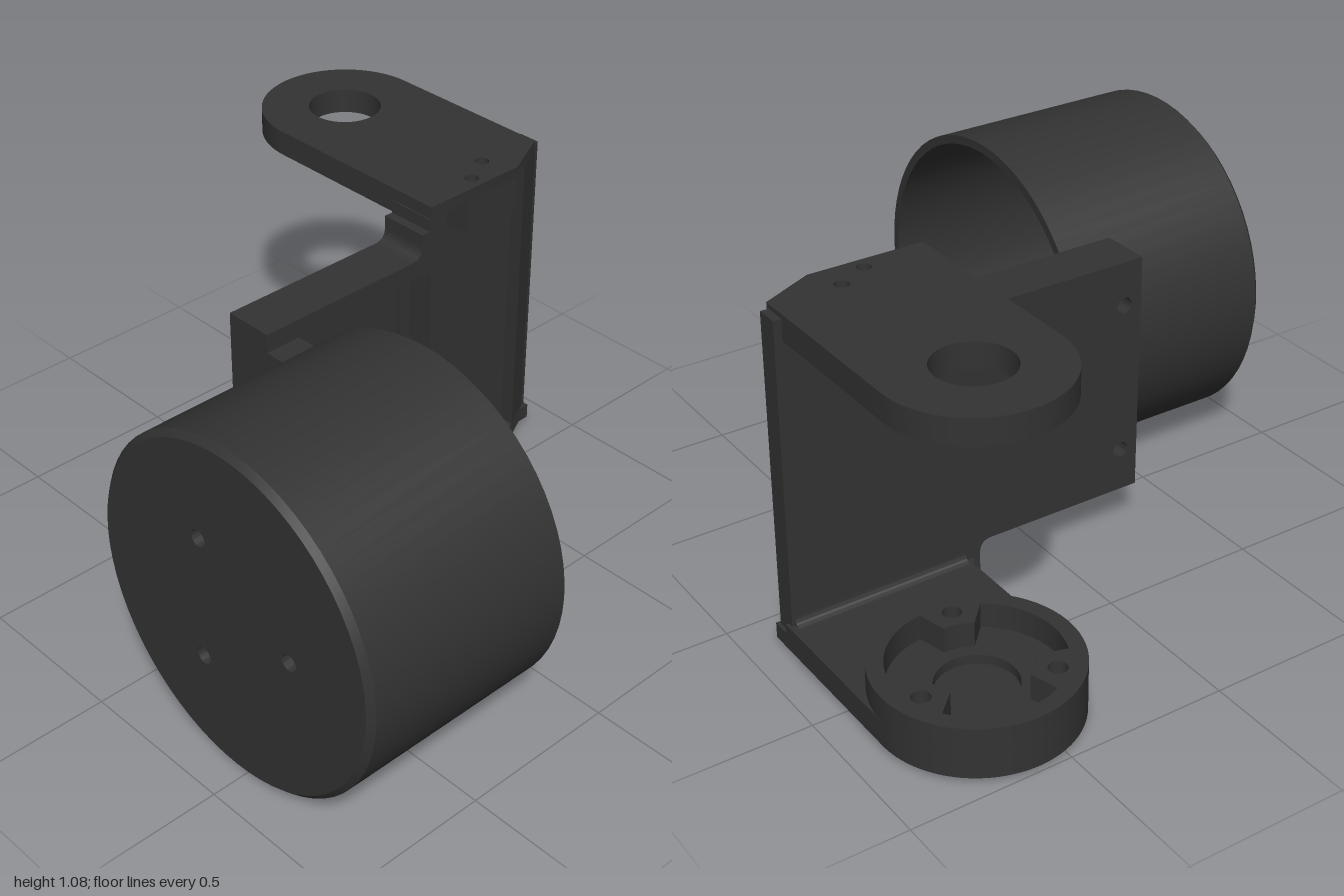
import * as THREE from 'three';
import { toCreasedNormals } from 'three/addons/utils/BufferGeometryUtils.js';

const material = new THREE.MeshStandardMaterial({ color: 0x333333 });

const polygon = (pts) => new THREE.Shape(pts.map(([a, b]) => new THREE.Vector2(a, b)));
const rect = (a0, b0, a1, b1) => polygon([[a0, b0], [a1, b0], [a1, b1], [a0, b1]]);
const circle = (a, b, r) => new THREE.Shape().absarc(a, b, r, 0, Math.PI * 2);

// Rectangle with rounded corners
function roundRect(a0, b0, a1, b1, r) {
  const s = new THREE.Shape();
  s.absarc(a1 - r, b1 - r, r, 0, Math.PI / 2);
  s.absarc(a0 + r, b1 - r, r, Math.PI / 2, Math.PI);
  s.absarc(a0 + r, b0 + r, r, Math.PI, Math.PI * 1.5);
  s.absarc(a1 - r, b0 + r, r, Math.PI * 1.5, Math.PI * 2);
  return s;
}

const extrude = (shape, depth) =>
  new THREE.ExtrudeGeometry(shape, { depth, bevelEnabled: false, curveSegments: 32 });

export function createModel() {
  const model = new THREE.Group();
  const add = (name, geometry) => {
    const mesh = new THREE.Mesh(toCreasedNormals(geometry, 0.5), material);
    mesh.name = name;
    model.add(mesh);
  };
  // Slab from a (z, y) outline between two x values
  const sideSlab = (name, shape, x0, x1, holes = []) => {
    shape.holes.push(...holes);
    add(name, extrude(shape, x1 - x0).rotateY(-Math.PI / 2).translate(x1, 0, 0));
  };
  // Slab from an (x, z) outline between two y values
  const flatSlab = (name, shape, y0, y1, holes = []) => {
    shape.holes.push(...holes);
    add(name, extrude(shape, y1 - y0).rotateX(Math.PI / 2).translate(0, y1, 0));
  };

  // Cup: turned wall and drilled front disc
  const cx = 0.465, cy = 0.535, R = 0.535;
  const profile = [[0.507, 0.86], [0.507, 0.19], [R, 0.19], [R, 0.872], [0.517, 0.89]]
    .map(([r, h]) => new THREE.Vector2(r, h));
  add('cupWall', new THREE.LatheGeometry(profile, 64).rotateX(Math.PI / 2).translate(cx, cy, 0));
  const disc = circle(0, 0, 0.517);
  for (let i = 0; i < 3; i++) {
    const a = i * Math.PI * 2 / 3;
    disc.holes.push(circle(0.232 * Math.cos(a), 0.232 * Math.sin(a), 0.027));
  }
  add('cupFront', extrude(disc, 0.04).translate(cx, cy, 0.85));

  // Upright plate with stepped outline, fillets and screw holes
  const plateOutline = () => {
    const s = new THREE.Shape();
    s.moveTo(0.31, 0.15);
    s.lineTo(0.31, 0.92);
    s.lineTo(-0.26, 0.92);
    s.quadraticCurveTo(-0.3, 0.92, -0.3, 0.96);
    s.lineTo(-0.3, 1.0);
    s.lineTo(-0.33, 1.0);
    s.lineTo(-0.33, 1.04);
    s.lineTo(-0.86, 1.04);
    s.lineTo(-0.86, 1.065);
    s.lineTo(-0.89, 1.065);
    s.lineTo(-0.89, 0.02);
    s.lineTo(-0.26, 0.02);
    s.lineTo(-0.26, 0.11);
    s.quadraticCurveTo(-0.26, 0.15, -0.22, 0.15);
    return s;
  };
  const screws = () => [0.29, 0.78].map((y) => circle(0.25, y, 0.025));
  sideSlab('uprightPlate', plateOutline(), -0.2, -0.15, screws());
  sideSlab('uprightPocketLayer', plateOutline(), -0.15, -0.13,
    [...screws(), roundRect(-0.3, 0.23, 0, 0.85, 0.03)]);

  // Rims along the neck and across its root
  for (const [y0, y1] of [[0.15, 0.21], [0.86, 0.92]]) {
    sideSlab('neckLip', rect(-0.34, y0, 0.31, y1), -0.13, -0.04);
  }
  const rib = new THREE.Shape();
  rib.moveTo(-0.38, 0.02);
  rib.lineTo(-0.26, 0.02);
  rib.lineTo(-0.26, 0.11);
  rib.quadraticCurveTo(-0.26, 0.15, -0.22, 0.15);
  rib.lineTo(-0.22, 0.18);
  rib.lineTo(-0.34, 0.2);
  rib.lineTo(-0.34, 0.87);
  rib.lineTo(-0.26, 0.9);
  rib.lineTo(-0.26, 0.92);
  rib.quadraticCurveTo(-0.3, 0.92, -0.3, 0.96);
  rib.lineTo(-0.3, 1.0);
  rib.lineTo(-0.33, 1.0);
  rib.lineTo(-0.33, 1.04);
  rib.lineTo(-0.38, 1.04);
  sideSlab('rootRib', rib, -0.13, -0.04);
  flatSlab('rearRim', polygon([[-0.13, -0.78], [-0.08, -0.78], [-0.13, -0.88]]), 0.02, 1.04);

  // Blocks at the top and bottom of the pocket
  sideSlab('upperBlock', rect(-0.7, 0.93, -0.49, 1.04), -0.13, -0.04);
  sideSlab('lowerBlock', roundRect(-0.7, 0.03, -0.49, 0.18, 0.03), -0.13, -0.04);

  // Flange joining the neck to the cup
  const flange = new THREE.Shape();
  const half = Math.asin(0.325 / 0.525);
  flange.moveTo(-0.13, 0.86);
  flange.lineTo(-0.13, 0.21);
  flange.absarc(cx, cy, 0.525, Math.PI + half, Math.PI - half, true);
  add('cupFlange', extrude(flange, 0.12).translate(0, 0, 0.19));

  // Arms: round-ended outlines about a shared pivot
  const px = -0.7, pz = -0.6;
  const armOutline = (r, endPts) => {
    const s = new THREE.Shape();
    s.absarc(px, pz, r, Math.PI / 2, Math.PI * 1.5);
    endPts.forEach(([x, z]) => s.lineTo(x, z));
    return s;
  };
  flatSlab('upperArm', armOutline(0.265, [[-0.12, -0.865], [-0.04, -0.7], [-0.04, -0.335]]), 1.04, 1.08,
    [circle(px, pz, 0.115), circle(-0.14, -0.65, 0.022), circle(-0.085, -0.55, 0.022)]);
  flatSlab('upperArmRim', armOutline(0.265, [[-0.17, -0.865], [-0.17, -0.335]]), 1.0, 1.04,
    [armOutline(0.225, [[-0.22, -0.825], [-0.22, -0.375]])]);
  flatSlab('upperPivotCollar', circle(px, pz, 0.155), 1.0, 1.04, [circle(px, pz, 0.115)]);

  // Three screw positions around the lower pivot
  const lugAngles = [0, 1, 2].map((i) => Math.PI * 0.75 + i * Math.PI * 2 / 3);
  const lugHoles = () => lugAngles.map((a) =>
    circle(px + 0.22 * Math.cos(a), pz + 0.22 * Math.sin(a), 0.028));
  flatSlab('lowerArmBase', armOutline(0.3, [[-0.12, -0.9], [-0.12, -0.86], [-0.04, -0.7], [-0.04, -0.3]]),
    0.02, 0.07, lugHoles());
  flatSlab('lowerArmTop', armOutline(0.3, [[-0.18, -0.9], [-0.18, -0.27], [-0.23, -0.3]]),
    0.07, 0.1, [...lugHoles(), circle(px, pz, 0.12)]);

  // Socket ring whose inner wall steps in at each screw lug
  const socket = new THREE.Shape();
  lugAngles.forEach((a) => {
    socket.absarc(px, pz, 0.16, a - 0.28, a + 0.28);
    socket.absarc(px, pz, 0.25, a + 0.36, a + Math.PI * 2 / 3 - 0.36);
  });
  flatSlab('lowerSocketRing', circle(px, pz, 0.3), 0.1, 0.18, [socket, ...lugHoles()]);

  // Fillet where the lower arm meets the upright
  const fillet = new THREE.Shape();
  fillet.moveTo(-0.19, 0.09);
  fillet.lineTo(-0.19, 0.13);
  fillet.lineTo(-0.2, 0.13);
  fillet.quadraticCurveTo(-0.2, 0.1, -0.23, 0.1);
  fillet.lineTo(-0.23, 0.09);
  add('lowerArmFillet', extrude(fillet, 0.57).translate(0, 0, -0.88));

  return model;
}
